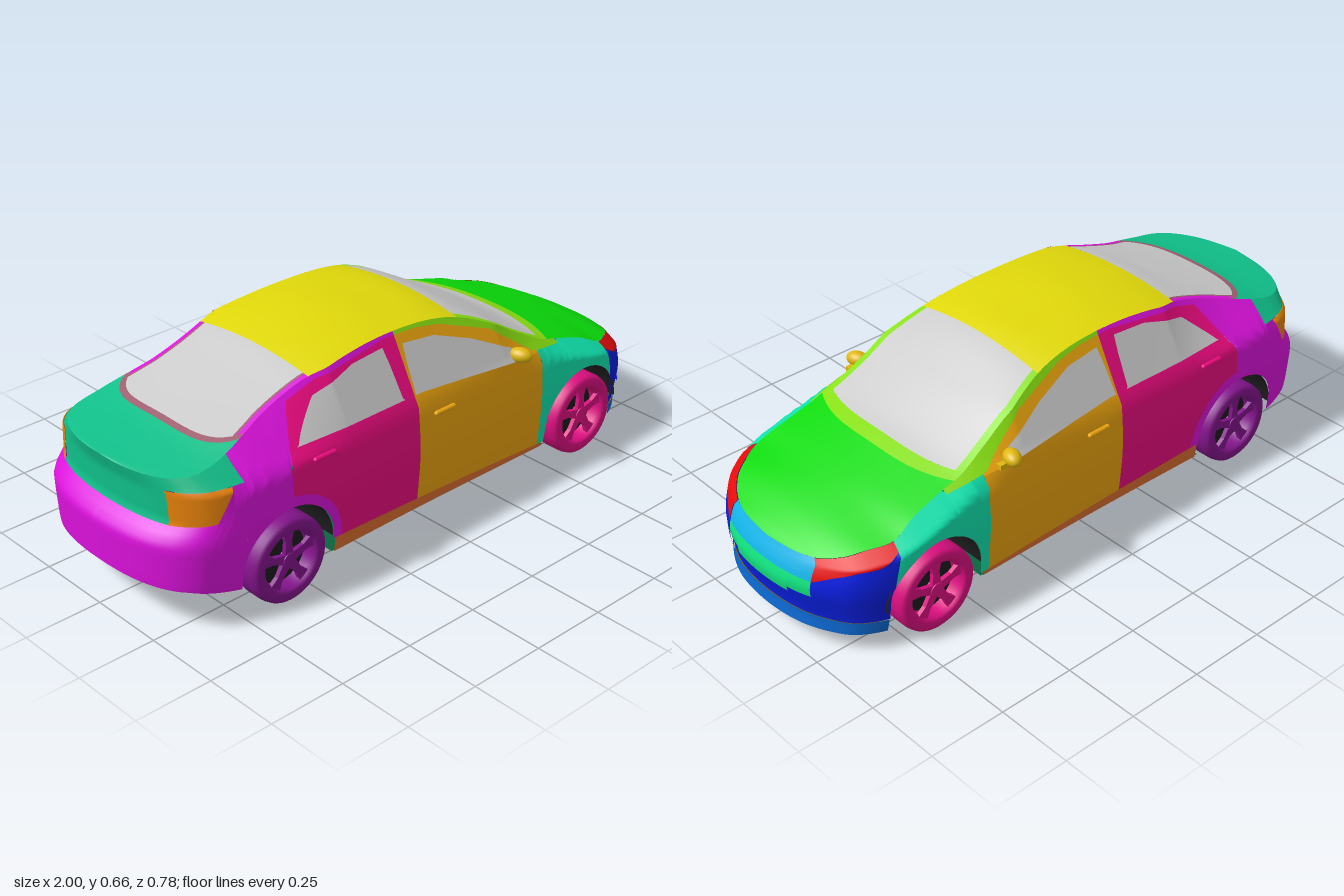
import * as THREE from 'three';

// Interpolate y over a list of [x, y]; smooth (Hermite) or straight
function curve(p, smooth = true) {
  const slope = i => {
    const a = p[Math.max(i - 1, 0)], b = p[Math.min(i + 1, p.length - 1)];
    return (b[1] - a[1]) / (b[0] - a[0]);
  };
  return x => {
    if (x <= p[0][0]) return p[0][1];
    if (x >= p[p.length - 1][0]) return p[p.length - 1][1];
    let i = 0;
    while (x > p[i + 1][0]) i++;
    const h = p[i + 1][0] - p[i][0], t = (x - p[i][0]) / h;
    if (!smooth) return p[i][1] + (p[i + 1][1] - p[i][1]) * t;
    const t2 = t * t, t3 = t2 * t;
    return (2 * t3 - 3 * t2 + 1) * p[i][1] + (t3 - 2 * t2 + t) * h * slope(i)
      + (3 * t2 - 2 * t3) * p[i + 1][1] + (t3 - t2) * h * slope(i + 1);
  };
}

// Plan outline: s runs from tail centre (-1.3) along the flank to nose centre (1.3)
const planX = curve([[-1.45, -.985], [-1.3, -1], [-1.15, -.985], [-1, -.94], [-.9, -.875], [-.75, -.75], [-.6, -.6],
  [0, 0], [.6, .6], [.75, .75], [.9, .875], [1, .93], [1.15, .983], [1.3, 1], [1.45, .983]]);
const planZ = curve([[-1.45, -.16], [-1.3, 0], [-1.15, .16], [-1, .275], [-.9, .335], [-.75, .366], [-.6, .372],
  [0, .364], [.45, .367], [.7, .372], [.8, .36], [.9, .325], [1, .27], [1.15, .15], [1.3, 0], [1.45, -.15]]);
// Reach of the nose and tail, and fullness of the flank, by height
const nose = curve([[.065, .985], [.11, .98], [.2, .997], [.25, .985], [.29, .965], [.35, .935]]);
const tail = curve([[.11, .985], [.15, .995], [.29, 1], [.32, .97], [.34, .95], [.43, .952], [.48, .968]], false);
const fullness = curve([[.065, .95], [.1, .965], [.18, .985], [.27, 1], [.36, .99], [.45, .965]]);
// Shoulder height, lean above it, upper edge of the flank, and centreline of the top
const shoulder = curve([[-1, .43], [-.5, .43], [.3, .43], [.45, .405], [.57, .37], [.75, .325], [.95, .29], [1.3, .27]]);
const lean = curve([[-.8, 1.2], [-.6, 1], [-.35, .54], [.3, .54], [.57, 1.3], [1.3, 1.3]], false);
const edge = curve([[-1.3, .48], [-.96, .475], [-.8, .49], [-.65, .53], [-.5, .58], [-.4, .61], [-.25, .632], [-.1, .639],
  [.05, .631], [.17, .606], [.3, .55], [.4, .49], [.5, .438], [.57, .415], [.7, .38], [.8, .345], [.9, .33], [1, .312], [1.1, .297], [1.3, .29]]);
const ridge = curve([[-.975, .482], [-.9, .49], [-.78, .511], [-.53, .587], [-.4, .632], [-.18, .661], [0, .655], [.17, .633],
  [.33, .555], [.49, .468], [.57, .44], [.757, .382], [.86, .346], [.93, .312], [.965, .29]]);

function flank(s, y, off = 0) {
  let x = planX(s), z = planZ(s);
  const e = .005, tx = planX(s + e) - planX(s - e), tz = planZ(s + e) - planZ(s - e), l = Math.hypot(tx, tz);
  if (x > .6) x = .6 + (x - .6) * (nose(y) - .6) / .4;
  if (x < -.6) x = -.6 + (x + .6) * (tail(y) - .6) / .4;
  z *= fullness(y) - lean(s) * Math.max(0, y - shoulder(s)) / .365;
  return [x - off * tz / l, y, z + off * tx / l];
}
function top(s, v) {
  const e = flank(s, edge(s));
  return [e[0], e[1] + (ridge(e[0]) - e[1]) * (1 - v * v), e[2] * v];
}

// Surface grid from f(u, w), both 0..1
function grid(f, nu, nw, flip, mirror = 1) {
  const pos = [], idx = [];
  for (let i = 0; i <= nu; i++) for (let j = 0; j <= nw; j++) {
    const p = f(i / nu, j / nw);
    pos.push(p[0], p[1], p[2] * mirror);
  }
  for (let i = 0; i < nu; i++) for (let j = 0; j < nw; j++) {
    const a = i * (nw + 1) + j, b = a + nw + 1;
    if (flip) idx.push(a, b + 1, b, a, a + 1, b + 1);
    else idx.push(a, b, b + 1, a, b + 1, a + 1);
  }
  const g = new THREE.BufferGeometry();
  g.setAttribute('position', new THREE.Float32BufferAttribute(pos, 3));
  g.setIndex(idx);
  g.computeVertexNormals();
  return g;
}

const fn = a => typeof a === 'function' ? a : () => a;
const arch = (cx, r, base) => s => {
  const d = r * r - (s - cx) ** 2;
  return d > 0 ? Math.max(base, .14 + Math.sqrt(d)) : base;
};
const REAR = -.595, FRONT = .65;

export function createModel() {
  const car = new THREE.Group();
  car.name = 'car';
  const mats = {};
  const mat = c => mats[c] ??= new THREE.MeshStandardMaterial({ color: c, side: THREE.DoubleSide });
  const add = (name, geo, color, parent = car) => {
    const m = new THREE.Mesh(geo, mat(color));
    m.name = name;
    parent.add(m);
    return m;
  };
  // Panel on both flanks between two height curves
  const side = (name, color, s0, s1, lo, hi, off = 0, n = 48) => {
    const a = fn(lo), b = fn(hi);
    const f = (u, w) => {
      const s = s0 + (s1 - s0) * u, y0 = a(s), y1 = Math.max(y0, b(s));
      return flank(s, y0 + (y1 - y0) * w, off);
    };
    for (const m of [1, -1]) add((m > 0 ? 'left ' : 'right ') + name, grid(f, n, 10, m < 0, m), color);
  };
  // Panel on the top, v is the fraction of the half width
  const cap = (name, color, s0, s1, v0 = -1, v1 = 1, n = 24) => {
    const a = fn(s0), b = fn(s1);
    const f = (u, w) => {
      const v = v0 + (v1 - v0) * w, s = a(Math.abs(v)) * (1 - u) + b(Math.abs(v)) * u;
      return top(s, v);
    };
    add(name, grid(f, n, v0 < 0 ? 24 : 4, true), color);
    if (v0 > 0) add(name + ' mirrored', grid(f, n, 4, false, -1), color);
  };
  const C = { quarter: 0xdd12dd, rearDoor: 0xee0a80, door: 0xeea50e, fender: 0x10e6b0, hood: 0x0adc0a, roof: 0xe0d80a,
    frame: 0x88e010, lid: 0x10c08a, bumper: 0x0a1ee0, lip: 0x0c68d0, lamp: 0xe80a0a, grille: 0x12b4e8, plate: 0x12e680,
    tailLamp: 0xe8820a, sill: 0xe07030, glass: 0xcccccc, seal: 0xa06070, dark: 0x1c1c1c };

  // Roof, glass, bonnet and boot lid
  const screenEnd = v => .545 - .05 * v ** 3, hoodStart = v => .59 - .06 * v ** 3;
  const backEnd = v => -.76 + .1 * v ** 4, lidStart = v => -.785 + .1 * v ** 4;
  cap('roof', C.roof, -.41, .17);
  cap('windshield', C.glass, .17, screenEnd, -.92, .92);
  cap('windshield pillar', C.frame, .17, screenEnd, .92, 1);
  cap('cowl', C.frame, screenEnd, hoodStart, -1, 1, 4);
  cap('hood', C.hood, hoodStart, 1.3, -1, 1, 48);
  cap('rear window', C.glass, backEnd, -.41, -.91, .91);
  cap('rear window seal', C.seal, backEnd, -.41, .91, .94);
  cap('rear pillar', C.quarter, backEnd, -.41, .94, 1);
  cap('rear window lower seal', C.seal, lidStart, backEnd, -1, 1, 4);
  cap('trunk lid', C.lid, -1.3, lidStart, -1, 1, 40);

  // Doors, side windows and roof rails
  const doorTopRaw = curve([[-.58, .42], [-.5, .565], [-.39, .6], [-.125, .63], [0, .625], [.09, .61], [.275, .545], [.435, .43], [.57, .405]], false);
  const doorTop = s => Math.min(doorTopRaw(s), edge(s) - .01);
  const doorLo = s => .118 - .04 * s;
  const belt = s => .463 - .08 * Math.max(0, s + .05);
  const rearGlass = curve([[-.53, .46], [-.5, .49], [-.42, .562], [-.26, .603], [-.135, .61], [-.125, .46]], false);
  const frontGlass = curve([[-.075, .46], [-.065, .6], [.06, .588], [.195, .54], [.36, .46], [.4, .42]], false);
  const glassTop = g => s => Math.max(belt(s), Math.min(g(s), doorTop(s) - .008));
  const rearLo = s => Math.max(doorLo(s), arch(REAR, .2, 0)(s));
  for (const [label, color, s0, s1, lo, g] of [['rear', C.rearDoor, -.58, -.082, rearLo, rearGlass], ['front', C.door, -.082, .45, doorLo, frontGlass]]) {
    side(label + ' door', color, s0, s1, lo, s => Math.min(belt(s), doorTop(s)), 0, 80);
    side(label + ' side window', C.glass, s0, s1, belt, glassTop(g), 0, 80);
    side(label + ' window frame', color, s0, s1, glassTop(g), doorTop, 0, 80);
  }
  side('rear roof rail', C.quarter, -.58, -.082, doorTop, edge);
  side('front roof rail', C.frame, -.082, .57, doorTop, edge);
  side('sill', C.sill, -.42, .47, .085, doorLo);

  // Rear quarters, tail lamps and rear bumper
  const tailLo = curve([[-1.3, .15], [-.95, .14], [-.77, .11]], false);
  const quarterLo = s => Math.max(tailLo(s), arch(REAR, .17, 0)(s));
  const lampLo = curve([[-1.05, .335], [-.88, .345], [-.8, .44]], false);
  side('rear bumper', C.quarter, -1.3, -.8, quarterLo, lampLo);
  side('tail lamp', C.tailLamp, -1.05, -.8, lampLo, .44, .002);
  side('trunk side', C.lid, -1.05, -.75, .44, edge);
  side('trunk back', C.lid, -1.3, -1.05, .335, edge);
  side('quarter infill', C.quarter, -.8, -.75, quarterLo, .44, 0, 8);
  side('rear quarter', C.quarter, -.75, -.58, quarterLo, edge);
  side('rear arch trim', C.quarter, -.58, -.36, s => Math.max(doorLo(s), quarterLo(s)), s => Math.max(doorLo(s), rearLo(s)));

  // Front fenders, lamps, bumper and grille
  const fenderLo = arch(FRONT, .17, .1);
  side('front fender', C.fender, .45, .8, fenderLo, s => s < .57 ? doorTop(s) : edge(s));
  const headLo = curve([[.8, .325], [.86, .295], [.95, .283], [1.03, .26], [1.1, .232]], false);
  side('front bumper', C.bumper, .8, 1.1, s => Math.max(.105, fenderLo(s)), headLo);
  side('headlight', C.lamp, .8, 1.1, headLo, edge, .002);
  side('lower front bumper', C.bumper, 1.1, 1.3, .105, .18);
  side('plate panel', C.plate, 1.1, 1.3, .18, .232);
  side('grille', C.grille, 1.1, 1.3, .232, edge);
  side('grille bar', C.grille, 1.14, 1.3, s => .25 + .0 * s, .262, .006);
  side('number plate', C.plate, 1.185, 1.3, .172, .226, .006);
  side('front lip', C.lip, .83, 1.3, .065, .107, .004);
  side('bumper crease', C.bumper, .93, 1.12, s => .15 - (s - .93) * .14, s => .163 - (s - .93) * .14, .006);

  // Floor pans
  const pan = (name, color, s0, s1, y, k) => add(name, grid((u, w) => {
    const p = flank(s0 + (s1 - s0) * u, y);
    return [p[0], y, p[2] * k * (2 * w - 1)];
  }, 24, 2, false), color);
  pan('main floor', 0x0a6440, -.43, .48, .09, 1);
  pan('front tray', 0x7a5a0a, .83, 1.3, .075, 1);
  pan('engine tray', C.dark, .48, .83, .1, .55);

  // Wheels with five spokes, and dark wheel wells
  const tyre = new THREE.LatheGeometry([[.088, -.05], [.122, -.05], [.132, -.042], [.136, -.025], [.136, .025], [.132, .042],
    [.122, .05], [.102, .05], [.095, .044], [.088, .03], [.088, -.05]].map(p => new THREE.Vector2(...p)), 48);
  tyre.rotateX(Math.PI / 2);
  const spokeShape = new THREE.Shape([[-.016, .015], [.016, .015], [.011, .06], [.02, .094], [-.02, .094], [-.011, .06]].map(p => new THREE.Vector2(...p)));
  const spoke = new THREE.ExtrudeGeometry(spokeShape, { depth: .014, bevelEnabled: false });
  const disc = new THREE.CircleGeometry(.09, 40);
  const hub = new THREE.CylinderGeometry(.022, .026, .022, 24).rotateX(Math.PI / 2);
  const liner = new THREE.CylinderGeometry(.172, .172, .16, 32, 1, true, Math.PI / 2, Math.PI).rotateX(Math.PI / 2);
  const backing = new THREE.CircleGeometry(.172, 32, 0, Math.PI);
  for (const [label, x, color] of [['rear', REAR, 0x84148c], ['front', FRONT, 0xdc0e80]]) for (const m of [1, -1]) {
    const wheel = new THREE.Group();
    wheel.name = `${label} ${m > 0 ? 'left' : 'right'} wheel`;
    add('tyre', tyre, color, wheel);
    add('brake disc', disc, C.dark, wheel);
    add('hub', hub, color, wheel).position.z = .03;
    for (let i = 0; i < 5; i++) {
      const sp = add('spoke', spoke, color, wheel);
      sp.rotation.z = i * Math.PI * .4;
      sp.position.z = .024;
    }
    wheel.position.set(x, .136, m * .323);
    if (m < 0) wheel.rotation.y = Math.PI;
    car.add(wheel);
    add(label + ' wheel well', liner, C.dark).position.set(x, .14, m * .275);
    add(label + ' well wall', backing, C.dark).position.set(x, .14, m * .196);
  }

  // Door mirrors and handles
  const shell = new THREE.SphereGeometry(1, 24, 16);
  const grip = new THREE.CapsuleGeometry(.008, .07, 6, 12).rotateZ(Math.PI / 2);
  for (const m of [1, -1]) {
    const mirror = add('door mirror', shell, 0xe0b80e);
    mirror.scale.set(.026, .024, .038);
    mirror.position.set(.355, .45, m * .353);
    mirror.rotation.y = m * .35;
    const stem = add('mirror stem', new THREE.BoxGeometry(.05, .016, .05), 0xe0b80e);
    stem.position.set(.375, .433, m * .33);
    for (const [x, y, c] of [[.02, .39, C.door], [-.46, .425, C.rearDoor]]) {
      const p = flank(x, y, .005);
      add('door handle', grip, c).position.set(p[0], y, m * p[2]);
    }
  }
  return car;
}
